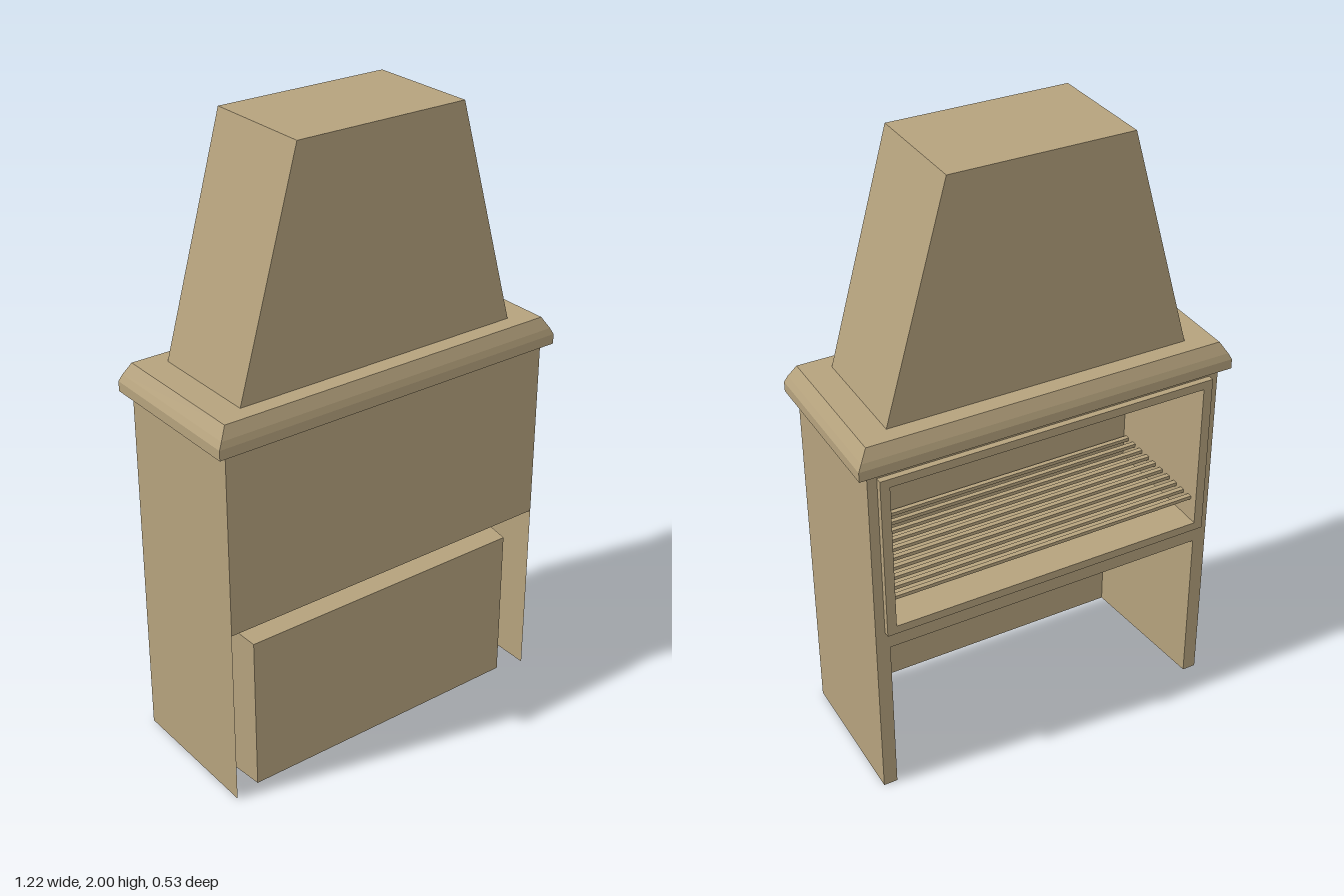
import * as THREE from 'three';

const solid = new THREE.MeshStandardMaterial({ color: 0xb5a27d, flatShading: true });
const sheet = new THREE.MeshStandardMaterial({ color: 0xb5a27d, flatShading: true, side: THREE.DoubleSide });

function mesh(name, geometry, material = solid) {
  const m = new THREE.Mesh(geometry, material);
  m.name = name;
  return m;
}

// Flat-shaded geometry from four-cornered faces
function quads(faces) {
  const pos = [];
  for (const [a, b, c, d] of faces) pos.push(...a, ...b, ...c, ...a, ...c, ...d);
  const g = new THREE.BufferGeometry();
  g.setAttribute('position', new THREE.Float32BufferAttribute(pos, 3));
  g.computeVertexNormals();
  return g;
}

// Closed stack of rectangles, each level [halfWidth, halfDepth, y]
function stack(levels) {
  const rings = levels.map(([x, z, y]) => [[-x, y, z], [x, y, z], [x, y, -z], [-x, y, -z]]);
  const faces = [[...rings[0]].reverse(), rings[rings.length - 1]];
  for (let i = 0; i + 1 < rings.length; i++) {
    for (let k = 0; k < 4; k++) {
      const n = (k + 1) % 4;
      faces.push([rings[i][k], rings[i][n], rings[i + 1][n], rings[i + 1][k]]);
    }
  }
  return quads(faces);
}

// Recess open to the back: mouth and end are [halfWidth, bottom, top, z]
function recess(mouth, end, hasFloor) {
  const ring = ([x, lo, hi, z]) => [[-x, lo, z], [-x, hi, z], [x, hi, z], [x, lo, z]];
  const a = ring(mouth), b = ring(end);
  const faces = [b];
  for (let k = 0; k < (hasFloor ? 4 : 3); k++) {
    const n = (k + 1) % 4;
    faces.push([a[k], a[n], b[n], b[k]]);
  }
  return quads(faces);
}

function rectPath(PathType, x, lo, hi) {
  const p = new PathType();
  p.moveTo(-x, lo);
  p.lineTo(x, lo);
  p.lineTo(x, hi);
  p.lineTo(-x, hi);
  p.closePath();
  return p;
}

export function createModel() {
  const model = new THREE.Group();
  model.name = 'fireplace';
  const W = 0.58, D = 0.24, H = 1.19;

  // Thin body shell: two sides and a front panel over the open lower part
  for (const s of [-1, 1]) {
    model.add(mesh(s > 0 ? 'leftWall' : 'rightWall',
      quads([[[s * W, 0, D], [s * W, 0, -D], [s * W, H, -D], [s * W, H, D]]]), sheet));
  }
  model.add(mesh('frontPanel', quads([[[-W, 0.595, D], [W, 0.595, D], [W, H, D], [-W, H, D]]]), sheet));

  // Back wall with a notch for the lower recess and a hole for the grill recess
  const back = new THREE.Shape([
    [-W, 0], [-0.535, 0], [-0.535, 0.55], [0.535, 0.55], [0.535, 0], [W, 0], [W, H], [-W, H],
  ].map(([x, y]) => new THREE.Vector2(x, y)));
  back.holes.push(rectPath(THREE.Path, 0.52, 0.64, 1.14));
  const backWall = mesh('backWall', new THREE.ShapeGeometry(back), sheet);
  backWall.position.z = -D;
  model.add(backWall);

  // Recesses
  model.add(mesh('lowerRecess', recess([0.535, 0, 0.55, -D], [0.49, 0, 0.515, 0.217], false), sheet));
  model.add(mesh('grillRecess', recess([0.52, 0.64, 1.14, -D], [0.52, 0.64, 1.14, 0.165], true), sheet));

  // Raised frame around the grill opening
  const frameShape = rectPath(THREE.Shape, 0.55, 0.612, 1.168);
  frameShape.holes.push(rectPath(THREE.Path, 0.52, 0.64, 1.14));
  const frame = mesh('openingFrame', new THREE.ExtrudeGeometry(frameShape, { depth: 0.02, bevelEnabled: false }));
  frame.position.z = -0.26;
  model.add(frame);

  // Grill bars
  const grill = new THREE.Group();
  grill.name = 'grill';
  const barGeometry = new THREE.BoxGeometry(1.04, 0.012, 0.016);
  for (let i = 0; i < 10; i++) {
    const bar = mesh('grillBar', barGeometry);
    bar.position.set(0, 0.722, -0.225 + i * 0.041);
    grill.add(bar);
  }
  model.add(grill);

  // Bevelled mantel and tapered chimney hood
  model.add(mesh('mantel', stack([
    [0.612, 0.263, 1.19], [0.612, 0.263, 1.222], [0.601, 0.257, 1.243], [0.578, 0.24, 1.28],
  ])));
  model.add(mesh('chimneyHood', stack([[0.49, 0.185, 1.28], [0.288, 0.185, 2]])));

  return model;
}
